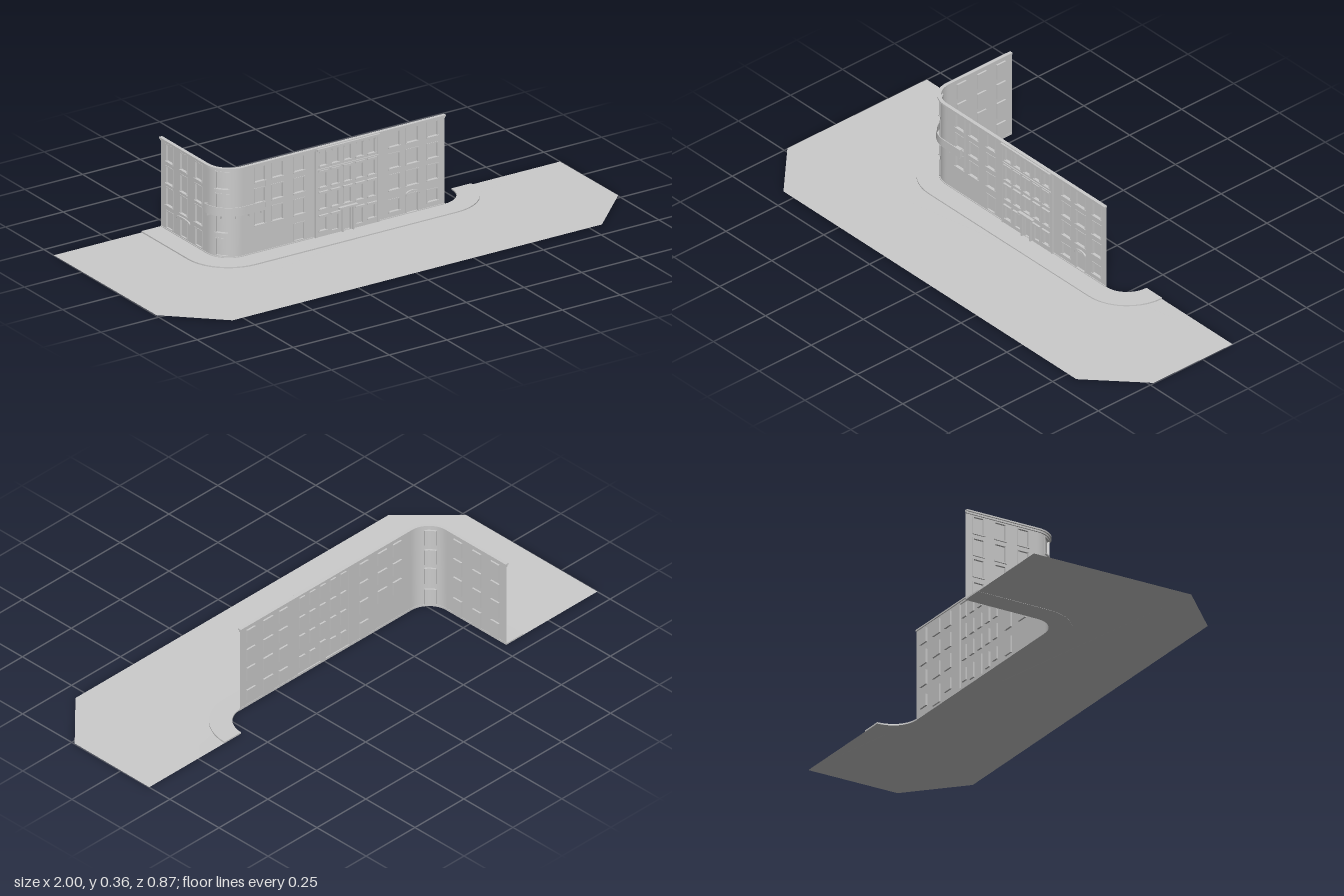
import * as THREE from 'three';
import { mergeGeometries } from 'three/addons/utils/BufferGeometryUtils.js';

const R = 0.09, BACK = -0.435, WX = -0.535, WZ = -0.04, END = 0.43, TOP = 0.352;
const L1 = WZ - R - BACK, ARC = R * Math.PI / 2;
const LEN = L1 + ARC + END - (WX + R);
const sX = x => L1 + ARC + x - (WX + R); // distance along wall for a front x
const sZ = z => z - BACK;                // distance along wall for a side z

// Point on the street line: side wall, round corner, front wall; d is outward
function wallPoint(s, d) {
  if (s < L1) return [WX - d, BACK + s];
  if (s < L1 + ARC) {
    const t = (s - L1) / R;
    return [WX + R - (R + d) * Math.cos(t), WZ - R + (R + d) * Math.sin(t)];
  }
  return [WX + R + s - L1 - ARC, WZ + d];
}

function bend(geo) {
  const p = geo.attributes.position;
  for (let i = 0; i < p.count; i++) {
    const [x, z] = wallPoint(p.getX(i), p.getZ(i));
    p.setXYZ(i, x, p.getY(i), z);
  }
  geo.computeVertexNormals();
  return geo;
}
// Segment count only rises where the piece touches the round corner
const segs = (s0, s1) => (s1 <= L1 || s0 >= L1 + ARC) ? 1 : Math.max(4, Math.ceil((s1 - s0) / 0.009));

function bar(s0, s1, y0, y1, d0, d1) {
  const g = new THREE.BoxGeometry(s1 - s0, y1 - y0, d1 - d0, segs(s0, s1), 1, 1);
  g.translate((s0 + s1) / 2, (y0 + y1) / 2, (d0 + d1) / 2);
  return bend(g);
}
function sheet(s0, s1, y0, y1, d) {
  const g = new THREE.PlaneGeometry(s1 - s0, y1 - y0, segs(s0, s1), 1);
  g.translate((s0 + s1) / 2, (y0 + y1) / 2, d);
  return bend(g);
}
// Recess: a box without its front
function niche(s0, s1, y0, y1, d) {
  const g = bar(s0, s1, y0, y1, d - 0.007, d);
  const { start, count } = g.groups[4];
  const idx = Array.from(g.index.array);
  idx.splice(start, count);
  g.setIndex(idx);
  g.clearGroups();
  return g;
}
// Curved hood strip over an opening
function archHood(s, w, y, rise, d) {
  const pts = [];
  for (let i = 0; i <= 12; i++) {
    const a = Math.PI * i / 12;
    pts.push([s - Math.cos(a) * w / 2, y + Math.sin(a) * rise]);
  }
  const shape = new THREE.Shape();
  pts.forEach(([a, b], i) => i ? shape.lineTo(a, b) : shape.moveTo(a, b));
  pts.reverse().forEach(([a, b]) => shape.lineTo(a, b + 0.006));
  const g = new THREE.ExtrudeGeometry(shape, { depth: 0.006, bevelEnabled: false });
  g.translate(0, 0, d);
  return bend(g);
}

const ROWS = [[0.103, 0.17], [0.188, 0.252], [0.274, 0.338]];
const FRONT_ROWS = [[0.115, 0.172], [0.2, 0.255], [0.284, 0.34]];
const GROUND = [0.013, 0.078];
const CX0 = -0.13, CX1 = 0.14, CD = 0.006; // projecting centre bay

// Columns of openings, ordered along the wall
const columns = [];
const add = (s, w, rows, opt = {}) => columns.push({ s, w, rows, d: 0, ...opt });
add(sZ(-0.38), 0.042, [GROUND, ...ROWS]);
add(sZ(-0.287), 0.042, [GROUND, ...ROWS], { arch: 0.085 });
add(sZ(-0.19), 0.042, [GROUND, ...ROWS]);
add(L1 + R * 0.71, 0.046, [GROUND, ...ROWS]);
add(sX(-0.37), 0.042, FRONT_ROWS);
add(sX(-0.294), 0.046, FRONT_ROWS);
add(sX(-0.2), 0.042, [GROUND, ...FRONT_ROWS]);
for (const x of [-0.1, -0.048, 0.005, 0.058, 0.11]) {
  const door = x === 0.005, outer = Math.abs(x - 0.005) > 0.08;
  const low = door ? [0.008, 0.092] : outer ? [0.03, 0.08] : [0.02, 0.08];
  add(sX(x), 0.028, [low, ...FRONT_ROWS], { d: CD, hood: true, door });
}
add(sX(0.212), 0.042, [[0.03, 0.075], ...FRONT_ROWS]);
add(sX(0.29), 0.048, [[0.008, 0.08], ...FRONT_ROWS], { arch: 0.058 });
add(sX(0.378), 0.042, [[0.03, 0.075], ...FRONT_ROWS]);

export function createModel() {
  const model = new THREE.Group();
  const mat = new THREE.MeshStandardMaterial({ color: 0xcccccc, side: THREE.DoubleSide });
  const put = (name, geos) => {
    const list = geos.map(g => g.index ? g.toNonIndexed() : g);
    const mesh = new THREE.Mesh(mergeGeometries(list), mat);
    mesh.name = name;
    model.add(mesh);
  };

  // Facade skin, window recesses and their trim
  const wall = [], recess = [], frame = [], sills = [], hoods = [];
  const plain = (a, b) => { // full-height strip, stepping out in the centre bay
    const cuts = [a, sX(CX0), sX(CX1), b].filter(s => s >= a && s <= b);
    for (let i = 0; i + 1 < cuts.length; i++) {
      const m = (cuts[i] + cuts[i + 1]) / 2;
      wall.push(sheet(cuts[i], cuts[i + 1], 0, TOP, m > sX(CX0) && m < sX(CX1) ? CD : 0));
    }
  };
  let at = 0;
  for (const { s, w, rows, d, arch, hood, door } of columns) {
    const a = s - w / 2, b = s + w / 2, t = 0.004;
    plain(at, a);
    let y = 0;
    rows.forEach(([y0, y1], i) => {
      wall.push(sheet(a, b, y, y0, d));
      recess.push(niche(a, b, y0, y1, d));
      frame.push(bar(a - t, a, y0, y1, d, d + 0.002), bar(b, b + t, y0, y1, d, d + 0.002),
        bar(a - t, b + t, y1, y1 + t, d, d + 0.002));
      if (y0 > 0.02) sills.push(bar(a - 0.005, b + 0.005, y0 - 0.005, y0, d, d + 0.005));
      if (hood && i < 3) hoods.push(bar(a - 0.006, b + 0.006, y1 + 0.006, y1 + 0.012, d, d + 0.008));
      y = y1;
    });
    wall.push(sheet(a, b, y, TOP, d));
    if (arch) hoods.push(archHood(s, arch, 0.077, arch > 0.06 ? 0.008 : 0.013, d));
    // Entrance: side posts and canopy
    if (door) {
      for (const k of [-1, 1]) frame.push(bar(s + k * 0.023 - 0.003, s + k * 0.023 + 0.003, 0, 0.097, d, d + 0.009));
      hoods.push(bar(s - 0.04, s + 0.04, 0.097, 0.104, d, d + 0.012));
    }
    at = b;
  }
  plain(at, LEN);
  put('facadeWall', wall);
  put('windowRecesses', recess);
  put('windowFrames', frame);
  put('windowSills', sills);
  put('hoods', hoods);

  // Cornice and string courses
  put('cornice', [bar(0, LEN, TOP, 0.358, -0.004, 0.01), bar(0, LEN, 0.345, TOP, 0, 0.005),
    bar(sX(CX0), sX(CX1), 0.346, 0.355, 0, 0.018)]);
  put('stringCourse', [bar(sX(CX0), sX(CX1), 0.267, 0.272, CD, CD + 0.004),
    bar(0, LEN, 0, 0.009, -0.001, 0.003)]);

  // Pilasters closing the centre bay, and a drainpipe
  put('pilasters', [CX0, CX1].map(x => bar(sX(x) - 0.003, sX(x) + 0.003, 0, TOP, 0, 0.009)));
  put('drainpipe', [bar(sX(-0.345), sX(-0.341), 0.13, 0.345, 0, 0.004)]);

  // Balcony wrapping the corner, and small brackets below the cornice
  const b0 = L1 - 0.005, b1 = sX(-0.355);
  const parts = [bar(b0, b1, 0.172, 0.178, 0, 0.014), bar(b0, b1, 0.178, 0.206, 0.011, 0.014),
    bar(b0, b0 + 0.003, 0.178, 0.206, 0, 0.014), bar(b1 - 0.003, b1, 0.178, 0.206, 0, 0.014)];
  for (let i = 0; i < 5; i++) {
    const s = b0 + 0.01 + i * (b1 - b0 - 0.024) / 4;
    parts.push(bar(s, s + 0.004, 0.16, 0.172, 0, 0.01));
  }
  put('cornerBalcony', parts);
  const br = [];
  for (let i = 0; i < 10; i++) {
    const s = sX(CX0 + 0.012 + i * 0.027);
    br.push(bar(s, s + 0.004, 0.336, 0.346, CD, CD + 0.006));
  }
  put('corniceBrackets', br);

  // Street line including the vacant round corner on the left
  const line = d => {
    const pts = [wallPoint(0, d)];
    for (let i = 0; i <= 10; i++) pts.push(wallPoint(L1 + ARC * i / 10 * 0.9999, d));
    for (let i = 0; i <= 10; i++) {
      const a = Math.PI / 2 * (1 - i / 10);
      pts.push([0.43 + (0.1 + d) * Math.cos(a), -0.145 + (0.105 + d) * Math.sin(a)]);
    }
    return pts;
  };
  const toShape = pts => new THREE.Shape(pts.map(([x, z]) => new THREE.Vector2(x, -z)));
  const ground = new THREE.ShapeGeometry(toShape([[-1, BACK], ...line(0), [1, -0.145],
    [1, 0.235], [0.8, 0.43], [-0.8, 0.43], [-1, 0.235]])).rotateX(-Math.PI / 2);
  const gp = ground.attributes.position;
  for (let i = 0; i < gp.count; i++) gp.setY(i, 0.009 * Math.max(0, gp.getZ(i)) + 0.0005);
  ground.computeVertexNormals();
  put('street', [ground]);
  put('pavement', [new THREE.ExtrudeGeometry(toShape([...line(0), ...line(0.085).reverse()]),
    { depth: 0.006, bevelEnabled: false }).rotateX(-Math.PI / 2)]);
  return model;
}
